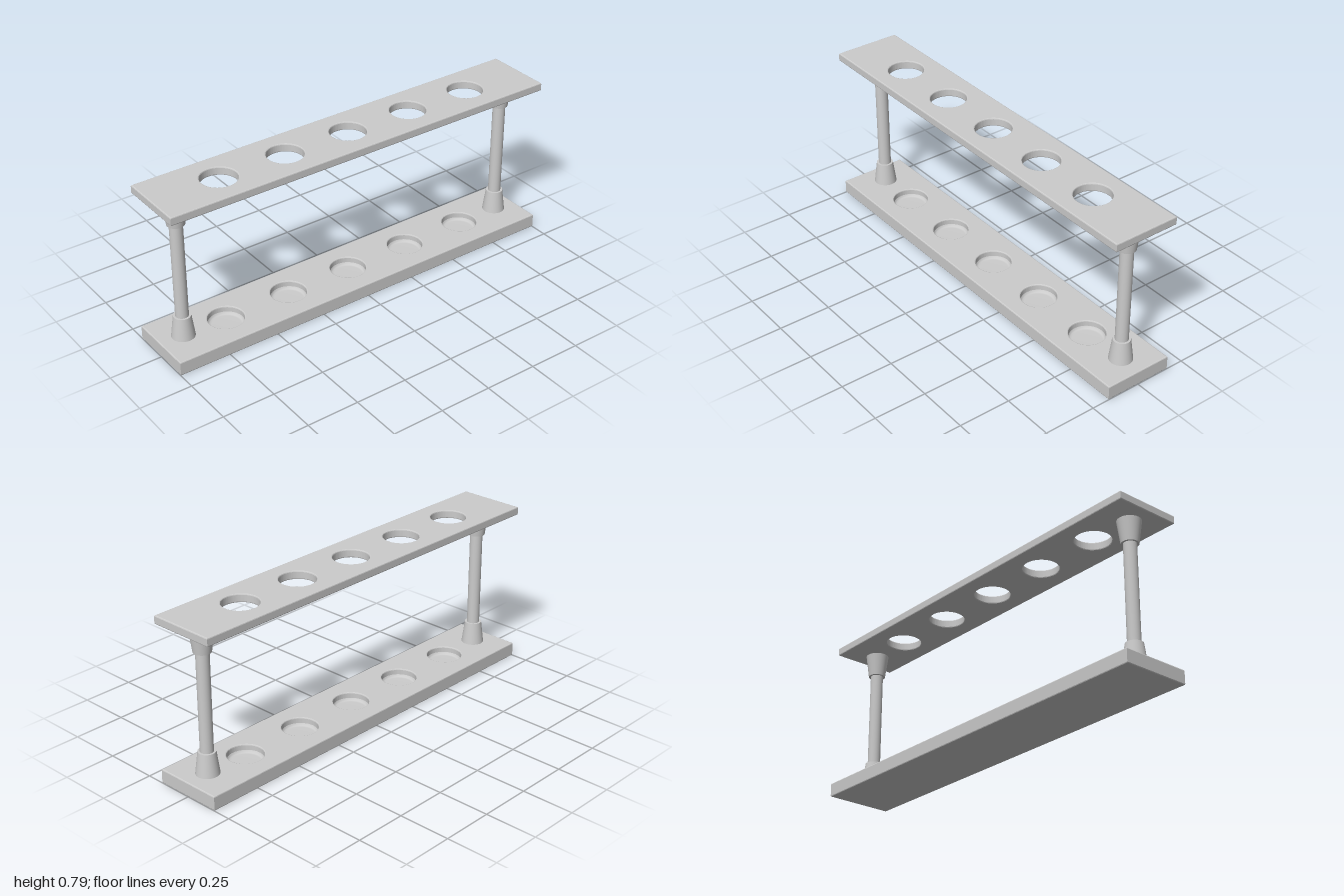
import * as THREE from 'three';
import { toCreasedNormals } from 'three/addons/utils/BufferGeometryUtils.js';

const HOLE_Z = [-0.667, -0.333, 0, 0.333, 0.667];
const HOLE_R = 0.083;
const BEVEL = 0.005;

const grey = new THREE.MeshStandardMaterial({ color: 0xcccccc });

function addMesh(parent, name, geometry, y = 0, z = 0) {
  const mesh = new THREE.Mesh(geometry, grey);
  mesh.name = name;
  mesh.position.set(0, y, z);
  parent.add(mesh);
  return mesh;
}

// Flat bar with softened edges and a row of round holes, lying from y = 0 to height
function plateGeometry(halfWidth, halfLength, height) {
  const shape = new THREE.Shape([
    new THREE.Vector2(-halfWidth, -halfLength),
    new THREE.Vector2(halfWidth, -halfLength),
    new THREE.Vector2(halfWidth, halfLength),
    new THREE.Vector2(-halfWidth, halfLength),
  ]);
  for (const z of HOLE_Z) {
    shape.holes.push(new THREE.Path().absarc(0, z, HOLE_R, 0, Math.PI * 2, true));
  }
  const geometry = new THREE.ExtrudeGeometry(shape, {
    depth: height - 2 * BEVEL,
    bevelThickness: BEVEL,
    bevelSize: BEVEL,
    bevelOffset: -BEVEL,
    bevelSegments: 2,
    curveSegments: 48,
  });
  geometry.translate(0, 0, BEVEL).rotateX(-Math.PI / 2);
  return toCreasedNormals(geometry, 0.35);
}

export function createModel() {
  const group = new THREE.Group();
  group.name = 'tubeRack';

  // Base bar and pierced upper bar
  addMesh(group, 'base', plateGeometry(0.165, 1, 0.068));
  addMesh(group, 'topPlate', plateGeometry(0.16, 0.995, 0.04), 0.748);

  // Rounded floors turn the base holes into shallow wells, closed underneath
  const floor = new THREE.LatheGeometry(
    [[HOLE_R + 0.001, 0.042], [0.08, 0.034], [0.075, 0.03], [0.067, 0.028], [0, 0.028]]
      .map(([r, y]) => new THREE.Vector2(r, y)), 48);
  const underside = new THREE.CircleGeometry(HOLE_R + BEVEL + 0.001, 48).rotateX(Math.PI / 2);
  for (const z of HOLE_Z) {
    addMesh(group, 'wellFloor', floor, 0, z);
    addMesh(group, 'wellUnderside', underside, 0, z);
  }

  // End posts with a tapered socket at each end
  const rod = new THREE.CylinderGeometry(0.03, 0.03, 0.6, 40);
  const lowerSocket = new THREE.CylinderGeometry(0.04, 0.054, 0.109, 40);
  const upperSocket = new THREE.CylinderGeometry(0.055, 0.04, 0.11, 40);
  for (const side of [1, -1]) {
    const post = new THREE.Group();
    post.name = side > 0 ? 'frontPost' : 'backPost';
    post.position.z = side * 0.885;
    addMesh(post, 'rod', rod, 0.407);
    addMesh(post, 'lowerSocket', lowerSocket, 0.1205);
    addMesh(post, 'upperSocket', upperSocket, 0.694);
    group.add(post);
  }
  return group;
}
